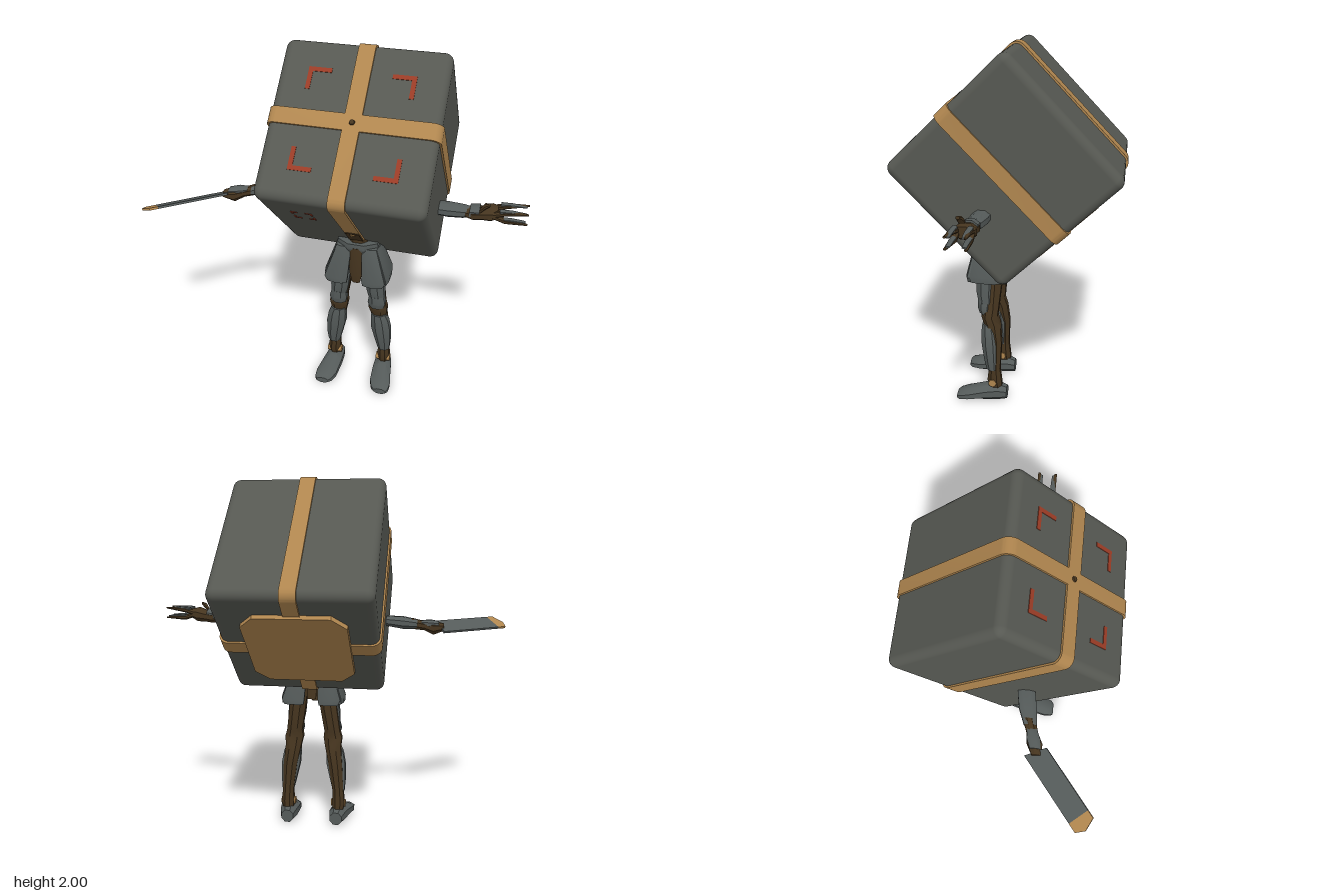
import * as THREE from 'three';
import { toCreasedNormals } from 'three/addons/utils/BufferGeometryUtils.js';
import { RoundedBoxGeometry } from 'three/addons/geometries/RoundedBoxGeometry.js';

const mat = (name, color) => Object.assign(new THREE.MeshStandardMaterial({ color }), { name });

// Closed loft of eight-sided rings: [y, x, z, halfWidthX, halfWidthZ], y rising
function loft(rows) {
  const n = 8, pos = [], idx = [], k = 1 / Math.cos(Math.PI / n);
  for (const [y, x, z, rx, rz] of rows)
    for (let j = 0; j < n; j++) {
      const a = ((j + 0.5) / n) * Math.PI * 2;
      pos.push(x + Math.cos(a) * rx * k, y, z + Math.sin(a) * rz * k);
    }
  for (let i = 0; i < rows.length - 1; i++)
    for (let j = 0; j < n; j++) {
      const a = i * n + j, b = i * n + (j + 1) % n;
      idx.push(a, a + n, b + n, a, b + n, b);
    }
  const top = (rows.length - 1) * n;
  for (let j = 1; j < n - 1; j++) idx.push(0, j, j + 1, top, top + j + 1, top + j);
  const g = new THREE.BufferGeometry();
  g.setAttribute('position', new THREE.Float32BufferAttribute(pos, 3));
  g.setIndex(idx);
  return toCreasedNormals(g, 0.7);
}
// Lofts along x: [x, y, z, halfY, halfZ] and along z: [z, x, y, halfX, halfY]
const loftX = rows => loft(rows.map(([x, y, z, a, b]) => [x, -y, z, a, b])).rotateZ(-Math.PI / 2);
const loftZ = rows => loft(rows.map(([z, x, y, a, b]) => [z, x, -y, a, b])).rotateX(Math.PI / 2);

function roundedSquare(Target, h, r) {
  const s = new Target();
  s.moveTo(-h + r, -h);
  s.lineTo(h - r, -h); s.absarc(h - r, -h + r, r, -Math.PI / 2, 0, false);
  s.lineTo(h, h - r); s.absarc(h - r, h - r, r, 0, Math.PI / 2, false);
  s.lineTo(-h + r, h); s.absarc(-h + r, h - r, r, Math.PI / 2, Math.PI, false);
  s.lineTo(-h, -h + r); s.absarc(-h + r, -h + r, r, Math.PI, Math.PI * 1.5, false);
  return s;
}

export function createModel() {
  const grey = mat('dark grey', 0x565852), armour = mat('armour grey', 0x555b5a);
  const tan = mat('tan', 0xb0864f), brown = mat('dark brown', 0x46351f), red = mat('rust red', 0x9a3c26);
  const model = new THREE.Group();
  const add = (parent, name, geo, m, x = 0, y = 0, z = 0) => {
    const mesh = new THREE.Mesh(geo, m);
    mesh.name = name;
    mesh.position.set(x, y, z);
    parent.add(mesh);
    return mesh;
  };
  const group = (name, parent = model) => {
    const g = new THREE.Group();
    g.name = name;
    parent.add(g);
    return g;
  };

  // Tilted crate
  const crate = group('crate');
  crate.position.set(0.112, 1.415, 0);
  crate.rotation.x = -0.803;
  add(crate, 'crateBody', new RoundedBoxGeometry(0.84, 0.84, 0.84, 4, 0.045), grey);

  // Two crossing straps around the crate
  const ring = roundedSquare(THREE.Shape, 0.43, 0.052);
  ring.holes.push(roundedSquare(THREE.Path, 0.408, 0.035));
  const strap = toCreasedNormals(new THREE.ExtrudeGeometry(ring, { depth: 0.085, bevelEnabled: false, curveSegments: 6 }).translate(0, 0, -0.0425), 0.6);
  add(crate, 'lengthStrap', strap, tan).rotation.y = Math.PI / 2;
  add(crate, 'crossStrap', strap, tan).rotation.x = Math.PI / 2;

  // Rivets and lower buckle
  const rivet = new THREE.CylinderGeometry(0.012, 0.015, 0.008, 12);
  add(crate, 'frontRivet', rivet, brown, 0, 0, 0.433).rotation.x = Math.PI / 2;
  add(crate, 'buckle', new THREE.BoxGeometry(0.075, 0.008, 0.14), brown, 0, -0.431, -0.1);
  add(crate, 'buckleRivet', rivet, tan, 0, -0.437, -0.055);

  // Corner marks on the front face and a smaller set underneath
  function cornerMarks(parent, reach, len, thick) {
    for (const sx of [-1, 1]) for (const sy of [-1, 1]) {
      add(parent, 'markBar', new THREE.BoxGeometry(len, thick, 0.004), red, sx * (reach - len / 2), sy * (reach - thick / 2), 0);
      add(parent, 'markPost', new THREE.BoxGeometry(thick, len - thick, 0.004), red, sx * (reach - thick / 2), sy * (reach - (len + thick) / 2), 0);
    }
  }
  const frontMarks = group('frontMarks', crate);
  frontMarks.position.z = 0.421;
  cornerMarks(frontMarks, 0.268, 0.118, 0.023);
  const smallMarks = group('smallMarks', crate);
  smallMarks.position.set(-0.215, -0.421, 0.17);
  smallMarks.rotation.x = Math.PI / 2;
  cornerMarks(smallMarks, 0.055, 0.035, 0.01);

  // Chamfered plate on the lower back face
  const h = 0.275, c = 0.2;
  const plate = new THREE.Shape([[-c, -h], [c, -h], [h, -c], [h, c], [c, h], [-c, h], [-h, c], [-h, -c]].map(p => new THREE.Vector2(...p)));
  add(crate, 'backPlate', new THREE.ExtrudeGeometry(plate, { depth: 0.03, bevelEnabled: false }), tan, 0, 0, -0.445);

  // Waist, belt and loin guard
  const hips = group('hips');
  hips.position.x = 0.115;
  add(hips, 'waist', loft([[0.82, 0, 0.13, 0.055, 0.05], [0.93, 0, 0.14, 0.07, 0.05], [1.0, 0, 0.15, 0.045, 0.05], [1.1, 0, 0.15, 0.04, 0.045]]), brown);
  add(hips, 'belt', loft([[0.925, 0, 0.14, 0.1, 0.07], [0.945, 0, 0.14, 0.115, 0.078], [0.975, 0, 0.145, 0.11, 0.072]]), armour);
  add(hips, 'loinGuard', loft([[0.72, 0, 0.2, 0.022, 0.012], [0.78, 0, 0.205, 0.034, 0.015], [0.95, 0, 0.2, 0.035, 0.02]]), brown);
  add(hips, 'rearGuard', loft([[0.76, 0, 0.06, 0.025, 0.01], [0.95, 0, 0.085, 0.035, 0.015]]), brown);

  // Legs, mirrored about the hips
  for (const [side, s] of [['left', 1], ['right', -1]]) {
    const leg = group(side + 'Leg', hips);
    leg.scale.x = s;
    // Skirt plates: front, back and outer
    add(leg, 'frontSkirt', loft([[0.73, 0.1, 0.235, 0.055, 0.018], [0.76, 0.105, 0.235, 0.065, 0.02], [0.95, 0.07, 0.195, 0.04, 0.015]]), armour);
    add(leg, 'backSkirt', loft([[0.73, 0.1, 0.04, 0.055, 0.016], [0.76, 0.105, 0.042, 0.065, 0.018], [0.95, 0.07, 0.085, 0.04, 0.015]]), armour);
    add(leg, 'sideSkirt', loft([[0.735, 0.165, 0.138, 0.016, 0.085], [0.77, 0.165, 0.138, 0.018, 0.09], [0.95, 0.105, 0.14, 0.015, 0.055]]), armour);
    // Inner limb
    add(leg, 'limb', loft([[0.08, 0.15, 0.09, 0.03, 0.032], [0.13, 0.152, 0.1, 0.036, 0.04], [0.2, 0.15, 0.1, 0.032, 0.032],
      [0.36, 0.135, 0.098, 0.04, 0.038], [0.47, 0.118, 0.115, 0.046, 0.045], [0.52, 0.115, 0.13, 0.054, 0.045],
      [0.56, 0.112, 0.125, 0.045, 0.045], [0.7, 0.092, 0.12, 0.048, 0.055], [0.88, 0.07, 0.13, 0.045, 0.05]]), brown);
    add(leg, 'thighGuard', loft([[0.6, 0.11, 0.145, 0.045, 0.045], [0.66, 0.103, 0.15, 0.05, 0.052], [0.78, 0.09, 0.145, 0.05, 0.055]]), armour);
    add(leg, 'kneeGuard', loft([[0.535, 0.112, 0.15, 0.042, 0.035], [0.57, 0.112, 0.155, 0.05, 0.04], [0.62, 0.11, 0.15, 0.04, 0.045]]), armour);
    add(leg, 'shinGuard', loft([[0.2, 0.152, 0.11, 0.034, 0.034], [0.26, 0.147, 0.115, 0.044, 0.042],
      [0.36, 0.135, 0.122, 0.055, 0.05], [0.43, 0.127, 0.128, 0.05, 0.045], [0.47, 0.12, 0.135, 0.04, 0.035]]), armour);
    // Foot and ankle pivot
    add(leg, 'foot', loftZ([[0.03, 0.145, 0.048, 0.035, 0.036], [0.08, 0.148, 0.055, 0.048, 0.049], [0.15, 0.153, 0.05, 0.054, 0.045],
      [0.25, 0.165, 0.038, 0.06, 0.033], [0.295, 0.172, 0.032, 0.05, 0.027], [0.31, 0.175, 0.028, 0.035, 0.018]]), armour);
    add(leg, 'anklePivot', new THREE.CylinderGeometry(0.022, 0.022, 0.084, 12).rotateZ(Math.PI / 2), tan, 0.15, 0.122, 0.108);
  }

  // Left arm with an open hand
  const leftArm = group('leftArm');
  add(leftArm, 'upperArm', loftX([[0.48, 1.21, 0.1, 0.03, 0.045], [0.58, 1.21, 0.105, 0.036, 0.045], [0.66, 1.215, 0.112, 0.032, 0.038], [0.69, 1.22, 0.115, 0.025, 0.028]]), armour);
  add(leftArm, 'wrist', loftX([[0.66, 1.215, 0.115, 0.022, 0.028], [0.71, 1.22, 0.12, 0.033, 0.05], [0.75, 1.225, 0.12, 0.032, 0.045], [0.8, 1.235, 0.12, 0.04, 0.055], [0.83, 1.24, 0.12, 0.028, 0.048]]), brown);
  add(leftArm, 'cuff', loftX([[0.69, 1.228, 0.118, 0.03, 0.045], [0.74, 1.235, 0.12, 0.032, 0.046]]), armour);
  add(leftArm, 'thumb', loftX([[0.73, 1.23, 0.14, 0.014, 0.014], [0.765, 1.28, 0.15, 0.016, 0.016], [0.79, 1.295, 0.155, 0.008, 0.01]]), brown);
  for (const up of [0, 1]) for (const front of [0, 1]) {
    const y = up ? 1.262 : 1.218, z = front ? 0.158 : 0.085;
    add(leftArm, 'finger', loftX([[0.8, 1.24, z, 0.015, 0.016], [0.87, y, z, 0.014, 0.017], [0.98, y + up * 0.012, z + (front - 0.5) * 0.02, 0.004, 0.007]]), brown);
    add(leftArm, 'fingerPlate', loftX([[0.84, y + 0.006, z, 0.01, 0.014], [0.9, y + 0.01, z, 0.008, 0.013], [0.97, y + 0.008, z, 0.004, 0.01]]), armour);
  }

  // Right arm, hand and guard
  const rightArm = group('rightArm');
  add(rightArm, 'forearm', loftX([[-0.48, 1.195, 0.16, 0.026, 0.034], [-0.4, 1.205, 0.14, 0.034, 0.046], [-0.32, 1.215, 0.125, 0.028, 0.046], [-0.27, 1.215, 0.12, 0.028, 0.04]]), armour);
  add(rightArm, 'hand', loftX([[-0.63, 1.175, 0.205, 0.02, 0.025], [-0.57, 1.172, 0.19, 0.038, 0.04], [-0.52, 1.185, 0.175, 0.025, 0.03], [-0.45, 1.2, 0.15, 0.03, 0.032]]), brown);
  add(rightArm, 'handGuard', loftX([[-0.6, 1.19, 0.195, 0.02, 0.028], [-0.55, 1.195, 0.182, 0.024, 0.035], [-0.5, 1.2, 0.17, 0.015, 0.025]]), armour);

  // Flat tilted blade: u runs to the tip, v across it
  const blade = group('blade', rightArm);
  const u = new THREE.Vector3(-0.783, 0, 0.622), v = new THREE.Vector3(0.57, 0.41, 0.71).normalize();
  blade.applyMatrix4(new THREE.Matrix4().makeBasis(u, v, u.clone().cross(v)).setPosition(-0.612, 1.177, 0.2));
  const slab = pts => new THREE.ExtrudeGeometry(new THREE.Shape(pts.map(p => new THREE.Vector2(...p))), { depth: 0.012, bevelEnabled: false }).translate(0, 0, -0.006);
  add(blade, 'bladeBody', slab([[-0.02, -0.06], [0.385, -0.06], [0.385, 0.06], [0.015, 0.06]]), armour);
  add(blade, 'bladeTip', slab([[0.385, -0.06], [0.438, -0.06], [0.46, -0.01], [0.43, 0.06], [0.385, 0.06]]), tan);

  return model;
}
